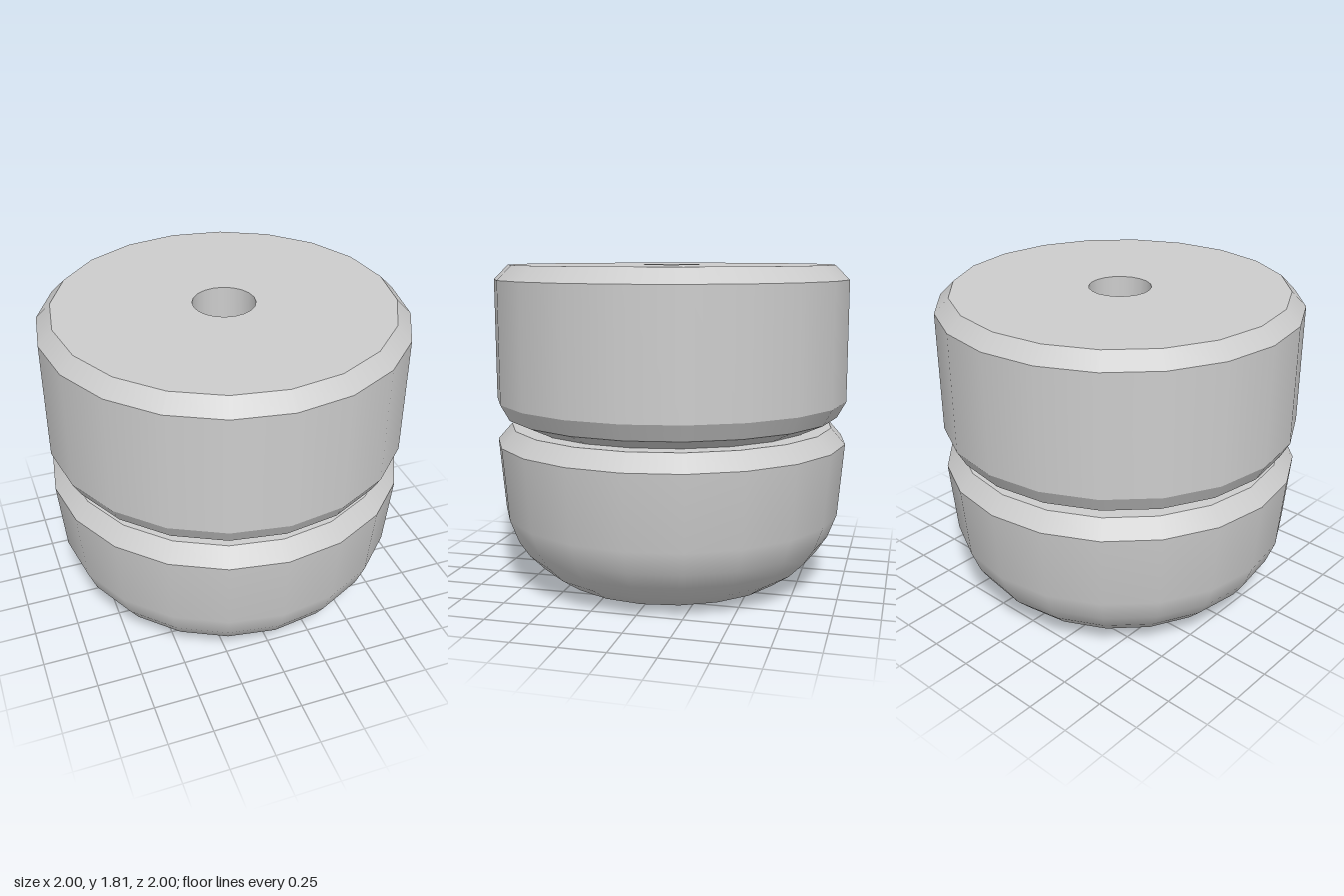
import * as THREE from 'three';
import { mergeGeometries } from 'three/addons/utils/BufferGeometryUtils.js';

const SIDES = 20;
const HOLE = 0.17;

// Turns a body from smooth runs of [radius, y]; each break between runs is a sharp edge.
function turned(name, runs, material) {
  const bands = runs.map(run =>
    new THREE.LatheGeometry(run.map(([r, y]) => new THREE.Vector2(r, y)), SIDES));
  const mesh = new THREE.Mesh(mergeGeometries(bands), material);
  mesh.name = name;
  return mesh;
}

export function createModel() {
  const group = new THREE.Group();
  group.name = 'turnedKnob';
  const grey = new THREE.MeshStandardMaterial({ color: 0xcccccc });
  grey.name = 'light grey';

  // Rounded lower cup with a wide recess under it and a through hole
  group.add(turned('lowerCup', [
    [[0.48, 0], [0.66, 0.03], [0.77, 0.105], [0.855, 0.19], [0.915, 0.28], [0.965, 0.41], [1, 0.82]],
    [[1, 0.82], [0.92, 0.91]],
    [[0.92, 0.91], [HOLE, 0.91]],
    [[HOLE, 0.91], [HOLE, 0.31]],
    [[HOLE, 0.31], [0.48, 0.31]],
    [[0.48, 0.31], [0.48, 0]],
  ], grey));

  // Upper drum with chamfered rims and the same through hole
  group.add(turned('upperDrum', [
    [[HOLE, 0.91], [0.82, 0.91]],
    [[0.82, 0.91], [0.95, 0.97]],
    [[0.95, 0.97], [1, 1.06]],
    [[1, 1.06], [1, 1.73]],
    [[1, 1.73], [0.92, 1.81]],
    [[0.92, 1.81], [HOLE, 1.81]],
    [[HOLE, 1.81], [HOLE, 0.91]],
  ], grey));

  return group;
}
